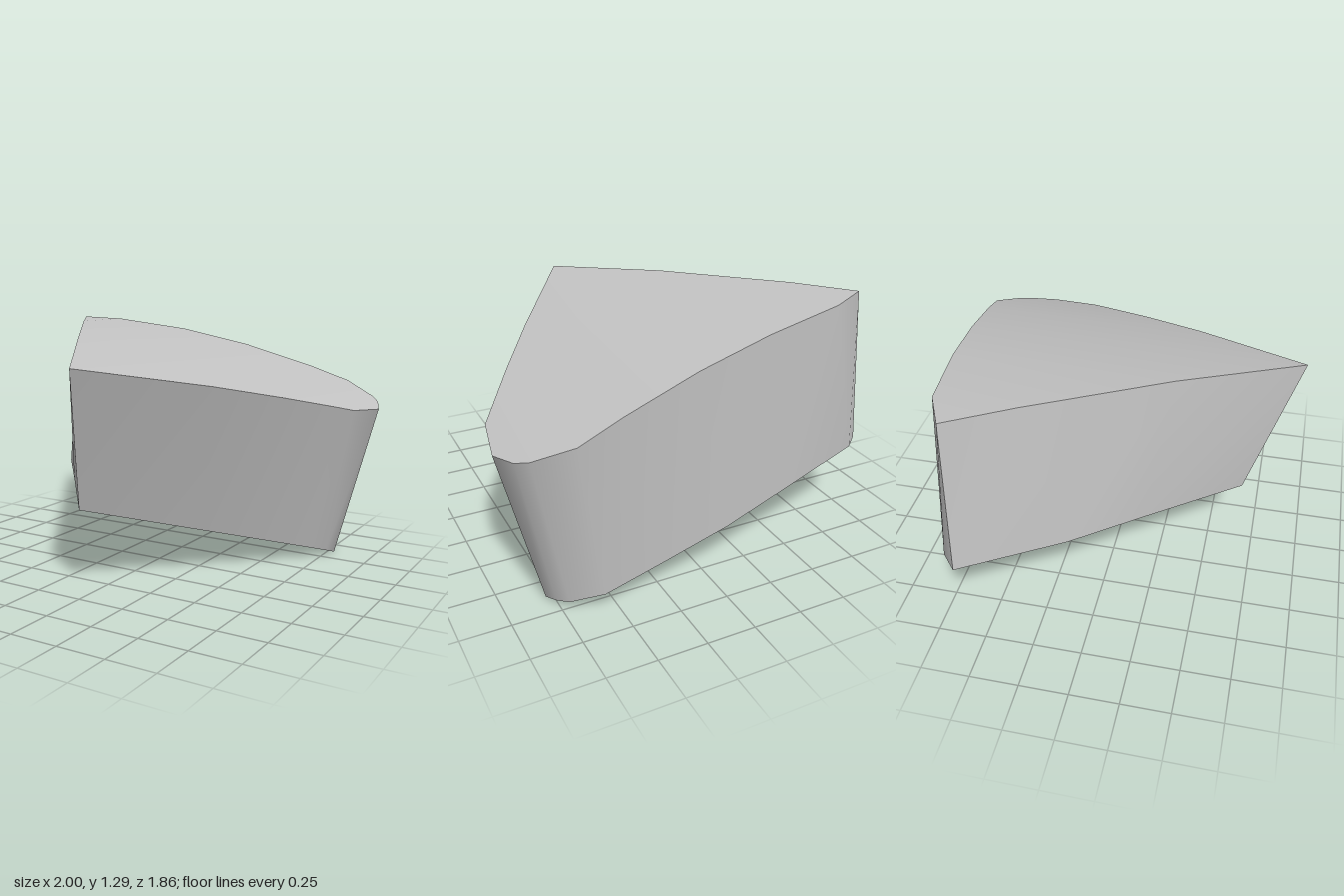
import * as THREE from 'three';
import { toCreasedNormals } from 'three/addons/utils/BufferGeometryUtils.js';

// Height of the domed top, curved along x only
const topY = (x) => 1.163 - 0.23 * x - 0.1 * x * x;

// Stations from left tip to right tip:
// [top x, front z, back z], lower front corner, lower back corner
const stations = [
  [[-0.93, -0.62, -0.62], [-1.0, 0.46, -0.62], [-1.0, 0.46, -0.62]],
  [[-0.73, -0.32, -0.72], [-0.7, 0.46, -0.13], [-0.91, 0.46, -0.7]],
  [[-0.3, 0.32, -0.79], [-0.43, 0.445, 0.2], [-0.45, 0.35, -0.77]],
  [[0.1, 0.925, -0.845], [-0.05, 0.42, 0.67], [-0.1, 0.26, -0.815]],
  [[0.5, 0.33, -0.9], [0.335, 0.237, 0.106], [0.27, 0.17, -0.835]],
  [[0.72, -0.01, -0.93], [0.54, 0.14, -0.194], [0.57, 0.1, -0.85]],
  [[0.9, -0.3, -0.84], [0.71, 0.06, -0.44], [0.72, 0.05, -0.77]],
  [[0.95, -0.38, -0.78], [0.77, 0.03, -0.53], [0.76, 0.025, -0.7]],
  [[1.0, -0.64, -0.64], [0.785, 0.0, -0.62], [0.785, 0.0, -0.62]],
];

// Mesh from a list of polygons, each split into a triangle fan
function polygonMesh(name, polygons, material) {
  const positions = [];
  for (const p of polygons) {
    for (let i = 1; i < p.length - 1; i++) {
      const [a, b, c] = [p[0], p[i], p[i + 1]].map((v) => new THREE.Vector3(...v));
      const area = b.clone().sub(a).cross(c.clone().sub(a)).length();
      if (area > 1e-6) positions.push(...p[0], ...p[i], ...p[i + 1]);
    }
  }
  const geometry = new THREE.BufferGeometry();
  geometry.setAttribute('position', new THREE.Float32BufferAttribute(positions, 3));
  geometry.computeVertexNormals();
  const mesh = new THREE.Mesh(toCreasedNormals(geometry, 0.7), material);
  mesh.name = name;
  return mesh;
}

export function createModel() {
  const grey = new THREE.MeshStandardMaterial({ color: 0xc4c4c4 });
  grey.name = 'light grey';

  const topFront = stations.map(([[x, zf]]) => [x, topY(x), zf]);
  const topBack = stations.map(([[x, , zb]]) => [x, topY(x), zb]);
  const last = stations.length - 1;

  // Closed rings: along the front, then returning along the back
  const ring = (front, back) => [...front, ...back.slice(1, last).reverse()];
  const upper = ring(topFront, topBack);
  const lower = ring(stations.map((s) => s[1]), stations.map((s) => s[2]));

  // Domed top in strips across x
  const dome = [];
  for (let i = 0; i < last; i++) {
    dome.push([topFront[i], topFront[i + 1], topBack[i + 1], topBack[i]]);
  }

  // Leaning side walls between the rings
  const walls = upper.map((t, i) => {
    const j = (i + 1) % upper.length;
    return [lower[i], lower[j], upper[j], t];
  });

  // Sloping underside, fanned from the left tip
  const underside = [[lower[0], ...lower.slice(1).reverse()]];

  const group = new THREE.Group();
  group.name = 'wedge block';
  group.add(
    polygonMesh('domedTop', dome, grey),
    polygonMesh('sideWalls', walls, grey),
    polygonMesh('underside', underside, grey)
  );
  return group;
}
